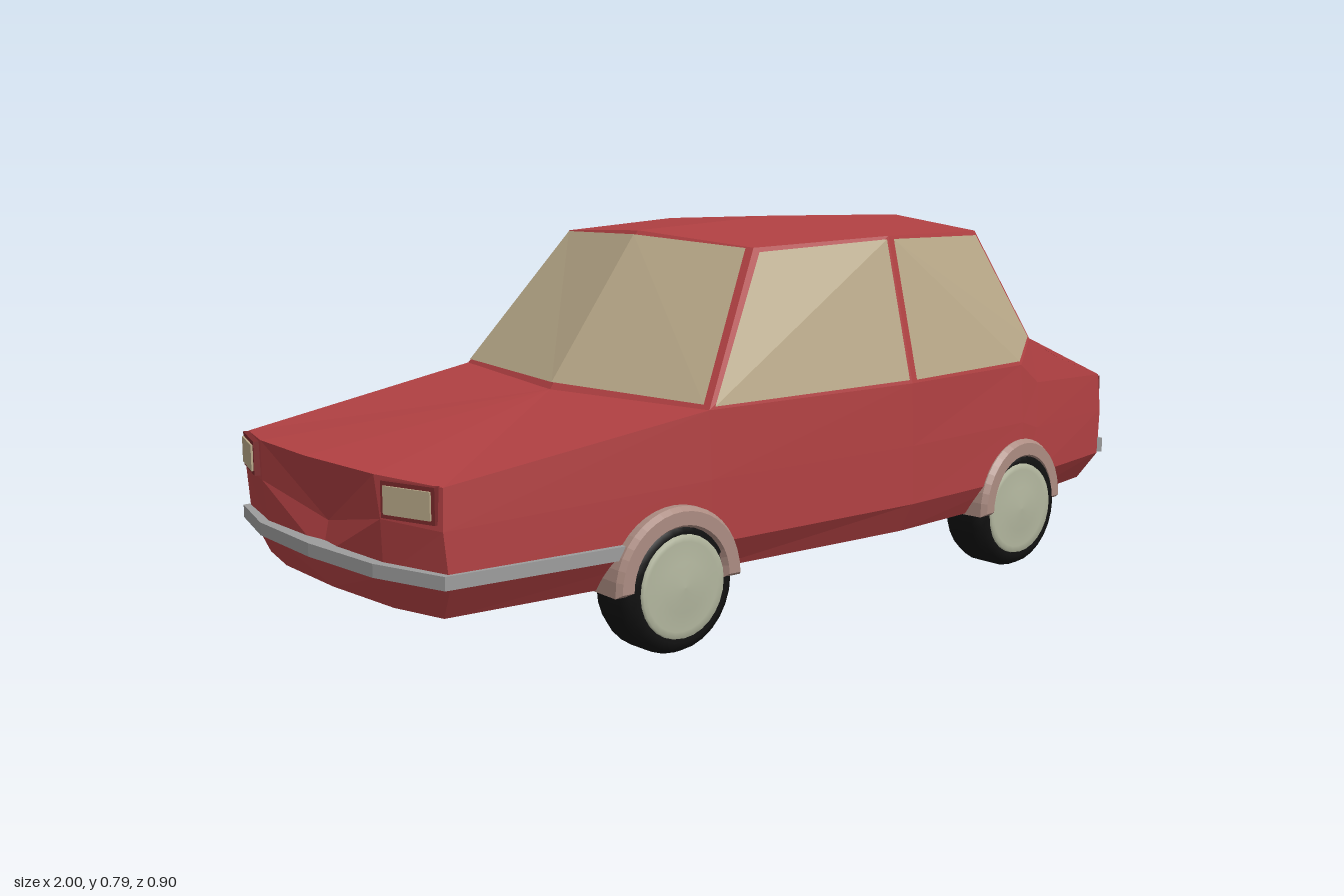
import * as THREE from 'three';

const paint = (color) => new THREE.MeshStandardMaterial({ color, flatShading: true, side: THREE.DoubleSide });
const red = paint(0xb04042), darkRed = paint(0x7a2a2c), glass = paint(0xb8a888), chrome = paint(0x9c9c9c);
const pink = paint(0xac8c82);
const tyre = new THREE.MeshStandardMaterial({ color: 0x111111 });
const hubMat = new THREE.MeshStandardMaterial({ color: 0xb2b69e });

const V = (x, y, z) => new THREE.Vector3(x, y, z);
const flip = (p) => V(p.x, p.y, -p.z);

// Collects polygons as triangle fans, each turned to face away from the car's spine
function shell(polys) {
  const pos = [];
  for (const poly of polys) for (let i = 1; i < poly.length - 1; i++) {
    let [a, b, c] = [poly[0], poly[i], poly[i + 1]];
    const n = b.clone().sub(a).cross(c.clone().sub(a));
    const m = a.clone().add(b).add(c).divideScalar(3);
    if (n.dot(m.clone().sub(V(m.x * 0.8, 0.33, 0))) < 0) [b, c] = [c, b];
    for (const p of [a, b, c]) pos.push(p.x, p.y, p.z);
  }
  const g = new THREE.BufferGeometry();
  g.setAttribute('position', new THREE.Float32BufferAttribute(pos, 3));
  g.computeVertexNormals();
  return g;
}
const bothSides = (polys) => polys.concat(polys.map((p) => p.map(flip)));

function add(parent, name, geo, mat) {
  const m = new THREE.Mesh(geo, mat);
  m.name = name;
  parent.add(m);
  return m;
}

// Pane: outline shrunk towards its middle and lifted off the body
function inset(pts, lift, margin) {
  const c = pts.reduce((s, p) => s.add(p), V(0, 0, 0)).divideScalar(pts.length);
  return pts.map((p) => p.clone().add(lift).add(c.clone().sub(p).setLength(margin)));
}

// Bumper: a bent strip drawn in plan, then given its height
function bumper(pts, y, h) {
  const half = pts.map(([x, z]) => new THREE.Vector2(x, z));
  const outer = half.slice(1).reverse().map((p) => new THREE.Vector2(p.x, -p.y)).concat(half);
  const inner = outer.map((p) => new THREE.Vector2(p.x - Math.sign(p.x) * 0.035, p.y - Math.sign(p.y) * 0.025));
  const g = new THREE.ExtrudeGeometry(new THREE.Shape(outer.concat(inner.reverse())), { depth: h, bevelEnabled: false });
  g.rotateX(-Math.PI / 2);
  g.translate(0, y, 0);
  return g;
}

export function createModel() {
  const car = new THREE.Group();
  car.name = 'car';

  // Half outlines of the lower body, nose to tail
  const floor = [[-0.95, 0], [-0.94, 0.2], [-0.91, 0.32], [-0.36, 0.375], [0.18, 0.41], [0.57, 0.385], [0.63, 0.375],
    [0.91, 0.32], [0.93, 0.2], [0.94, 0]].map(([x, z]) => V(x, 0.14, z));
  const sill = [[-0.97, 0], [-0.965, 0.21], [-0.925, 0.365], [-0.36, 0.42], [0.18, 0.447], [0.57, 0.425], [0.63, 0.42],
    [0.925, 0.365], [0.955, 0.21], [0.96, 0]].map(([x, z]) => V(x, 0.205, z));
  const waist = [[-0.955, 0.27, 0], [-0.975, 0.315, 0.22], [-0.935, 0.31, 0.362], [-0.36, 0.33, 0.418], [0.18, 0.33, 0.445],
    [0.57, 0.33, 0.422], [0.63, 0.31, 0.415], [0.935, 0.31, 0.362], [0.965, 0.315, 0.22], [0.945, 0.265, 0]].map((p) => V(...p));
  const belt = [[-1, 0.4, 0], [-0.98, 0.396, 0.21], [-0.93, 0.388, 0.357], [-0.36, 0.465, 0.41], [0.18, 0.463, 0.44],
    [0.57, 0.46, 0.413], [0.64, 0.412, 0.405], [0.93, 0.395, 0.357], [0.98, 0.398, 0.21], [0.988, 0.402, 0]].map((p) => V(...p));
  const [n0, n1, n2, a, b, c0, c, t2, t1, t0] = belt;

  // Cabin and boot corners
  const w0 = V(-0.435, 0.463, 0), d0 = V(0.67, 0.52, 0), d = V(0.63, 0.512, 0.385);
  const e0 = V(0.77, 0.472, 0), e1 = V(0.74, 0.458, 0.378);
  const rf0 = V(-0.2, 0.777, 0), rf = V(-0.15, 0.757, 0.305);
  const rm0 = V(0.19, 0.79, 0), rm = V(0.19, 0.766, 0.355);
  const rr0 = V(0.59, 0.775, 0), rr = V(0.525, 0.757, 0.305);

  // Lower body
  const lower = [];
  const rings = [floor, sill, waist, belt];
  for (let r = 0; r < 3; r++) for (let i = 0; i < 9; i++)
    lower.push([rings[r][i], rings[r][i + 1], rings[r + 1][i + 1], rings[r + 1][i]]);
  lower.push([...floor]);
  add(car, 'lowerBody', shell(bothSides(lower)), red);
  add(car, 'bonnet', shell(bothSides([[w0, n0, n1, n2, a]])), red);
  add(car, 'boot', shell(bothSides([[d0, d, e1, e0], [e0, e1, t2, t1, t0], [d, c, t2, e1], [c0, d, c]])), red);
  add(car, 'cabin', shell(bothSides([[w0, a, rf, rf0], [a, b, rm, rf], [rm, b, c0, d, rr], [d0, d, rr, rr0]])), red);
  add(car, 'roof', shell(bothSides([[rm0, rf0, rf, rm], [rm0, rm, rr, rr0]])), red);

  // Windscreen and rear window, each folded along the centre
  const screen = (base, base0, top, top0, lift) => {
    const p = inset([base, base0, flip(base), flip(top), top0, top], lift, 0.014);
    return shell([[p[0], p[1], p[4], p[5]], [p[1], p[2], p[3], p[4]]]);
  };
  add(car, 'windscreen', screen(a, w0, rf, rf0, V(-0.006, 0.005, 0)), glass);
  add(car, 'rearWindow', screen(d, d0, rr, rr0, V(0.008, 0.003, 0)), glass);

  // Side windows
  const sideLift = V(0, 0.001, 0.005);
  add(car, 'frontSideWindows', shell(bothSides([inset([a, b, rm, rf], sideLift, 0.013)])), glass);
  add(car, 'rearSideWindows', shell(bothSides([inset([rm, b, c0, d, rr], sideLift, 0.013)])), glass);

  // Bumpers
  add(car, 'frontBumper', bumper([[-1, 0], [-0.988, 0.21], [-0.94, 0.372], [-0.57, 0.412]], 0.207, 0.026), chrome);
  add(car, 'rearBumper', bumper([[1, 0], [0.985, 0.21], [0.935, 0.372]], 0.207, 0.034), chrome);

  for (const side of [1, -1]) {
    // Lamps set into dark surrounds at the four corners
    for (const end of [1, -1]) {
      const lamp = new THREE.Group();
      lamp.name = end < 0 ? 'headlamp' : 'tailLamp';
      lamp.position.set(end * 0.952, 0.355, side * 0.29);
      lamp.rotation.y = -0.32 * side * end;
      add(lamp, 'lampSurround', new THREE.BoxGeometry(0.024, 0.068, 0.122), darkRed);
      add(lamp, 'lampLens', new THREE.BoxGeometry(0.032, 0.052, 0.106), glass);
      car.add(lamp);
    }

    for (const [x, yaw] of [[-0.445, -0.06], [0.555, 0.08]]) {
      // Wheel: rounded tyre with a shallow domed hub
      const wheel = new THREE.Group();
      wheel.name = x < 0 ? 'frontWheel' : 'rearWheel';
      wheel.position.set(x, 0.136, side * 0.375);
      wheel.rotation.x = side * Math.PI / 2;
      const tread = [[0, -0.06], [0.1, -0.06], [0.126, -0.05], [0.135, -0.03], [0.135, 0.03], [0.126, 0.05],
        [0.108, 0.06], [0.1, 0.05], [0, 0.05]].map(([r, h]) => new THREE.Vector2(r, h));
      add(wheel, 'tyre', new THREE.LatheGeometry(tread, 28), tyre);
      const dome = [[0.103, 0.05], [0.1, 0.06], [0.088, 0.056], [0.05, 0.061], [0, 0.064]].map(([r, h]) => new THREE.Vector2(r, h));
      const hub = add(wheel, 'hub', new THREE.LatheGeometry(dome, 28), hubMat.clone());
      hub.material.side = THREE.DoubleSide;
      car.add(wheel);

      // Wheel arch: half ring with a chamfered outer edge
      const arch = new THREE.Shape();
      arch.absarc(0, 0, 0.14, 0, Math.PI, false);
      arch.absarc(0, 0, 0.113, Math.PI, 0, true);
      const g = new THREE.ExtrudeGeometry(arch, { depth: 0.15, bevelThickness: 0.012, bevelSize: 0.008, bevelSegments: 1, curveSegments: 10 });
      g.translate(0, 0, -0.075);
      const fender = add(car, 'wheelArch', g, pink);
      fender.position.set(x, 0.145, side * 0.35);
      fender.rotation.y = yaw * side;
    }
  }
  return car;
}
